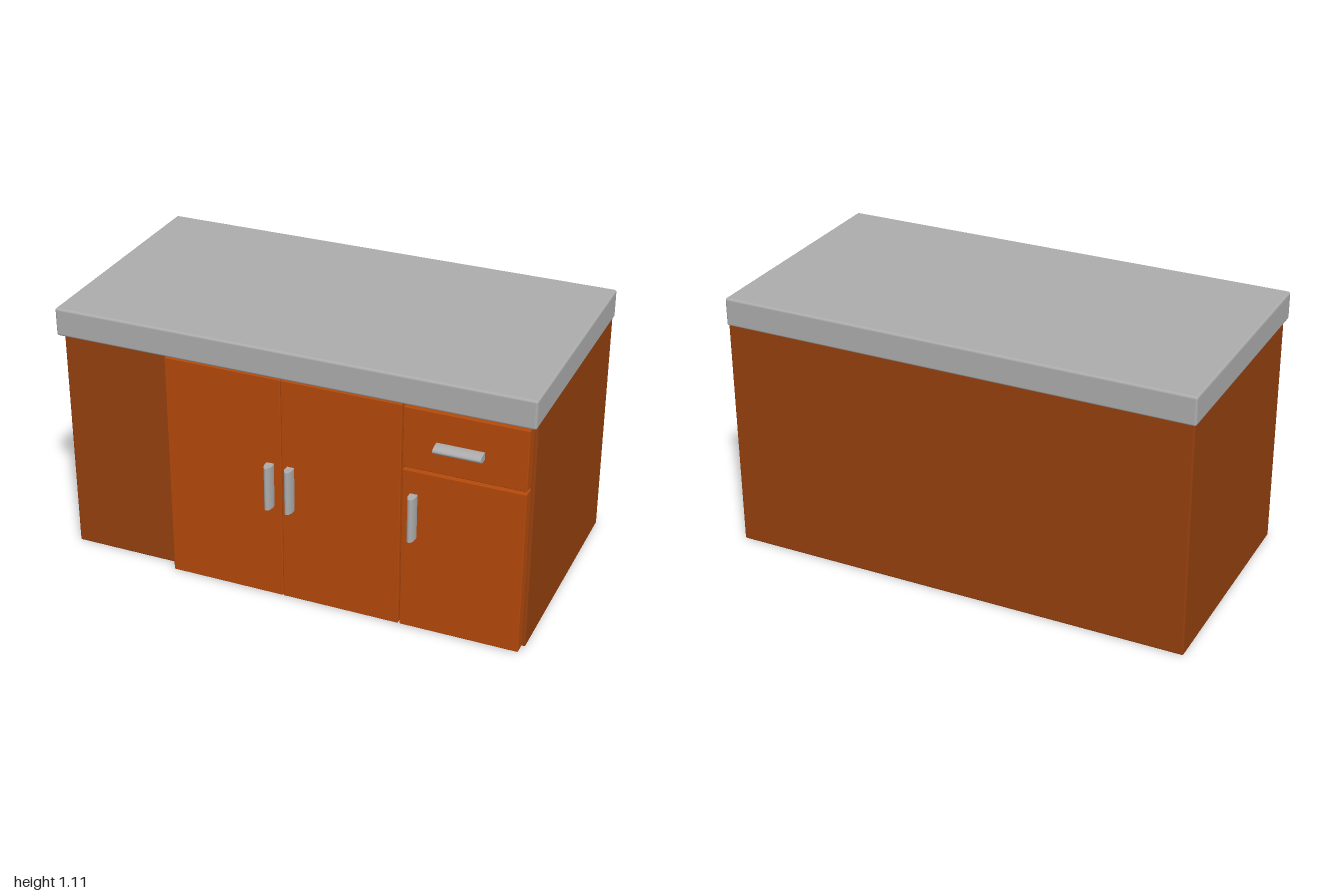
import * as THREE from 'three';
import { RoundedBoxGeometry } from 'three/addons/geometries/RoundedBoxGeometry.js';

const wood = new THREE.MeshStandardMaterial({ color: 0x94400e });
wood.name = 'carcassBrown';
const doorWood = new THREE.MeshStandardMaterial({ color: 0xb3490b });
doorWood.name = 'doorOrangeBrown';
const grey = new THREE.MeshStandardMaterial({ color: 0xacacac });
grey.name = 'grey';

// Box given by its limits, with slightly softened edges
function block(name, [x0, x1], [y0, y1], [z0, z1], radius, material) {
  const geometry = new RoundedBoxGeometry(x1 - x0, y1 - y0, z1 - z0, 2, radius);
  const mesh = new THREE.Mesh(geometry, material);
  mesh.position.set((x0 + x1) / 2, (y0 + y1) / 2, (z0 + z1) / 2);
  mesh.name = name;
  return mesh;
}

// Oval bar that projects from a door front
function handle(name, x, y, horizontal) {
  const geometry = new THREE.CylinderGeometry(1, 1, 0.19, 20);
  geometry.scale(0.0165, 1, 0.035);
  if (horizontal) geometry.rotateZ(Math.PI / 2);
  const mesh = new THREE.Mesh(geometry, grey);
  mesh.position.set(x, y, 0.515);
  mesh.name = name;
  return mesh;
}

export function createModel() {
  const model = new THREE.Group();
  model.name = 'kitchenCounter';

  // Carcass and worktop
  model.add(block('carcass', [-0.995, 0.992], [0, 1], [-0.548, 0.45], 0.008, wood));
  model.add(block('worktop', [-1, 1], [0.99, 1.11], [-0.55, 0.5], 0.01, grey));

  // Door and drawer fronts
  const front = [0.445, 0.5];
  model.add(block('leftDoor', [-0.518, -0.021], [0.004, 0.989], front, 0.004, doorWood));
  model.add(block('middleDoor', [-0.019, 0.478], [0.004, 0.989], front, 0.004, doorWood));
  model.add(block('smallDoor', [0.484, 0.978], [0.004, 0.715], front, 0.004, doorWood));
  model.add(block('drawer', [0.484, 0.978], [0.726, 0.984], front, 0.004, doorWood));

  // Handles
  model.add(handle('leftDoorHandle', -0.067, 0.52, false));
  model.add(handle('middleDoorHandle', 0.02, 0.52, false));
  model.add(handle('smallDoorHandle', 0.534, 0.52, false));
  model.add(handle('drawerHandle', 0.715, 0.844, true));

  return model;
}
